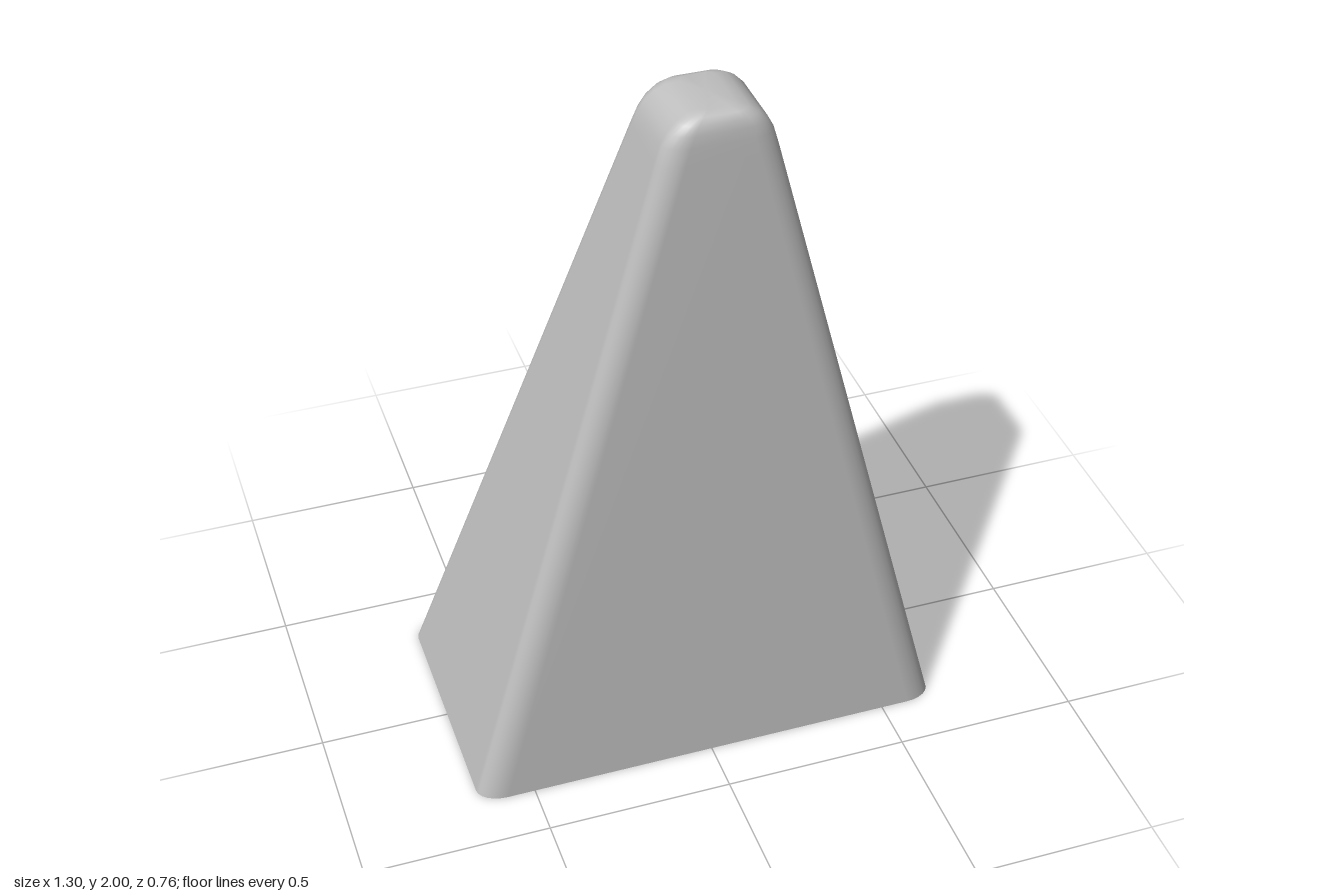
import * as THREE from 'three';

const ARC = 6; // segments per rounded corner

// Rounded-rectangle ring at height y, wound from +x towards +z
function ring({ y, x, back, front, rx, rz }) {
  const corners = [[1, 1], [-1, 1], [-1, -1], [1, -1]];
  const points = [];
  corners.forEach(([sx, sz], c) => {
    const cx = sx * (x - rx);
    const cz = sz > 0 ? front - rz : back + rz;
    for (let i = 0; i <= ARC; i++) {
      const a = (c + i / ARC) * Math.PI / 2;
      points.push([cx + rx * Math.cos(a), y, cz + rz * Math.sin(a)]);
    }
  });
  return points;
}

function meshGeometry(points, index) {
  const geometry = new THREE.BufferGeometry();
  geometry.setAttribute('position', new THREE.Float32BufferAttribute(points.flat(), 3));
  geometry.setIndex(index);
  geometry.computeVertexNormals();
  return geometry;
}

export function createModel() {
  const group = new THREE.Group();
  group.name = 'taperedWedge';
  const grey = new THREE.MeshStandardMaterial({ color: 0xc0c0c0 });
  grey.name = 'light grey';

  // Straight taper, then a softly rounded tip
  const sections = [
    { y: 0, x: 0.65, back: -0.378, front: 0.357, rx: 0.075, rz: 0.05 },
    { y: 1.88, x: 0.15, back: 0.115, front: 0.378, rx: 0.06, rz: 0.045 },
    { y: 1.925, x: 0.137, back: 0.127, front: 0.378, rx: 0.06, rz: 0.045 },
    { y: 1.955, x: 0.121, back: 0.136, front: 0.377, rx: 0.055, rz: 0.042 },
    { y: 1.978, x: 0.1, back: 0.147, front: 0.372, rx: 0.045, rz: 0.038 },
    { y: 1.992, x: 0.076, back: 0.16, front: 0.361, rx: 0.035, rz: 0.032 },
    { y: 2, x: 0.045, back: 0.18, front: 0.343, rx: 0.02, rz: 0.02 },
  ];
  const rings = sections.map(ring);
  const n = rings[0].length;

  // Walls and rounded top share smooth normals
  const index = [];
  for (let s = 0; s < rings.length - 1; s++) {
    for (let i = 0; i < n; i++) {
      const a = s * n + i, b = s * n + (i + 1) % n;
      index.push(a, a + n, b, b, a + n, b + n);
    }
  }
  const top = (rings.length - 1) * n, centre = rings.length * n;
  for (let i = 0; i < n; i++) index.push(centre, top + (i + 1) % n, top + i);
  const body = new THREE.Mesh(meshGeometry([...rings.flat(), [0, 2, 0.26]], index), grey);
  body.name = 'body';
  group.add(body);

  // Flat underside with a sharp rim
  const baseIndex = [];
  for (let i = 0; i < n; i++) baseIndex.push(n, i, (i + 1) % n);
  const base = new THREE.Mesh(meshGeometry([...rings[0], [0, 0, 0]], baseIndex), grey);
  base.name = 'underside';
  group.add(base);

  return group;
}
